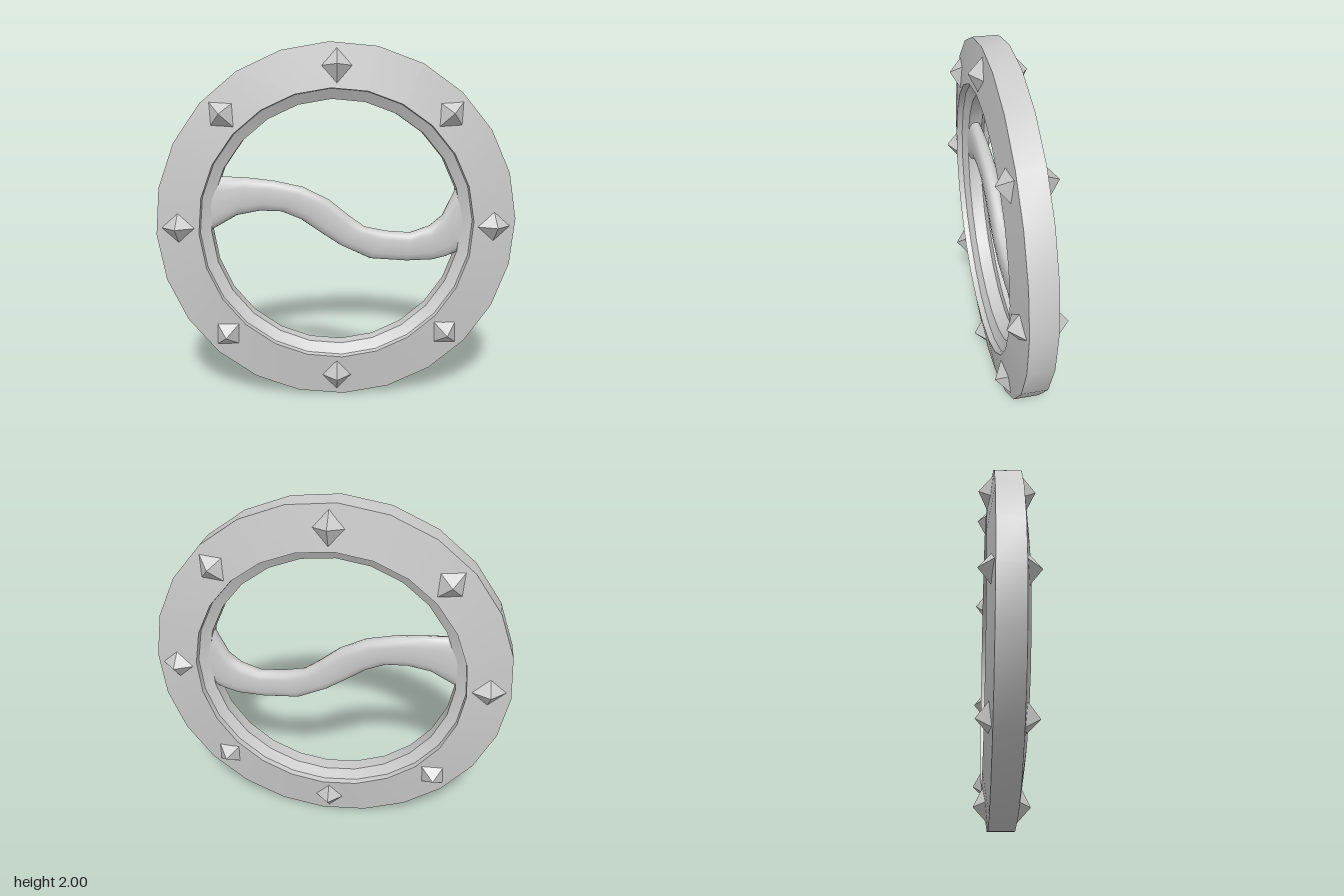
import * as THREE from 'three';
import { toCreasedNormals } from 'three/addons/utils/BufferGeometryUtils.js';

const grey = new THREE.MeshStandardMaterial({ color: 0xcccccc });
const faceted = new THREE.MeshStandardMaterial({ color: 0xcccccc, flatShading: true });

// Ring: closed profile (radius, depth) turned in 24 steps
function makeRing() {
  const profile = [
    [1, -0.07], [1, 0.07], [0.76, 0.105], [0.757, 0.07], [0.7, 0.04],
    [0.7, -0.04], [0.757, -0.07], [0.76, -0.105], [1, -0.07],
  ].map(([r, d]) => new THREE.Vector2(r, d));
  const geo = new THREE.LatheGeometry(profile, 24, 0.04);
  geo.rotateX(Math.PI / 2);
  const ring = new THREE.Mesh(toCreasedNormals(geo, 0.42), grey);
  ring.name = 'ring';
  return ring;
}

// Curved grip: rounded flat cross-sections between an upper and a lower edge
function makeGrip() {
  const stations = [ // top x, top y, bottom x, bottom y
    [-0.72, 1.28, -0.75, 0.93], [-0.64, 1.275, -0.7, 0.975], [-0.5, 1.268, -0.56, 1.055],
    [-0.35, 1.25, -0.43, 1.08], [-0.19, 1.215, -0.31, 1.075], [-0.04, 1.14, -0.2, 1.03],
    [0.07, 1.05, -0.1, 0.96], [0.16, 0.985, 0.02, 0.88], [0.28, 0.96, 0.19, 0.8],
    [0.42, 0.95, 0.4, 0.785], [0.53, 0.99, 0.55, 0.79], [0.6, 1.05, 0.63, 0.81],
    [0.66, 1.18, 0.69, 0.835], [0.71, 1.28, 0.74, 0.85],
  ];
  const sides = 16;
  const soften = (v) => Math.sign(v) * Math.abs(v) ** 0.75;
  const positions = [], index = [];
  stations.forEach(([tx, ty, bx, by], i) => {
    for (let j = 0; j < sides; j++) {
      const a = (j / sides) * Math.PI * 2;
      const t = (1 + soften(Math.cos(a))) / 2;
      positions.push(bx + (tx - bx) * t, by + (ty - by) * t, 0.045 * soften(Math.sin(a)));
      if (i === stations.length - 1) continue;
      const p = i * sides + j, q = i * sides + ((j + 1) % sides);
      index.push(p, q, p + sides, q, q + sides, p + sides);
    }
  });
  const geo = new THREE.BufferGeometry();
  geo.setAttribute('position', new THREE.Float32BufferAttribute(positions, 3));
  geo.setIndex(index);
  geo.computeVertexNormals();
  const grip = new THREE.Mesh(geo, grey);
  grip.name = 'grip';
  return grip;
}

// Eight pyramid studs, long axis radial, leaning with the sloped face
function makeStuds(name) {
  const geo = new THREE.ConeGeometry(1, 1, 4);
  geo.rotateX(Math.PI / 2).translate(0, 0, 0.5).scale(0.098, 0.085, 0.066);
  geo.rotateY(0.145).translate(0.875, 0, 0.084);
  const studs = new THREE.Group();
  studs.name = name;
  for (let i = 0; i < 8; i++) {
    const stud = new THREE.Mesh(geo, faceted);
    stud.name = 'stud';
    stud.rotation.z = (i * Math.PI) / 4;
    studs.add(stud);
  }
  studs.position.y = 1;
  return studs;
}

export function createModel() {
  const model = new THREE.Group();
  model.name = 'studdedRing';
  const ring = makeRing();
  ring.position.y = 1;
  const frontStuds = makeStuds('frontStuds');
  const backStuds = makeStuds('backStuds');
  backStuds.rotation.y = Math.PI;
  model.add(ring, makeGrip(), frontStuds, backStuds);
  return model;
}
